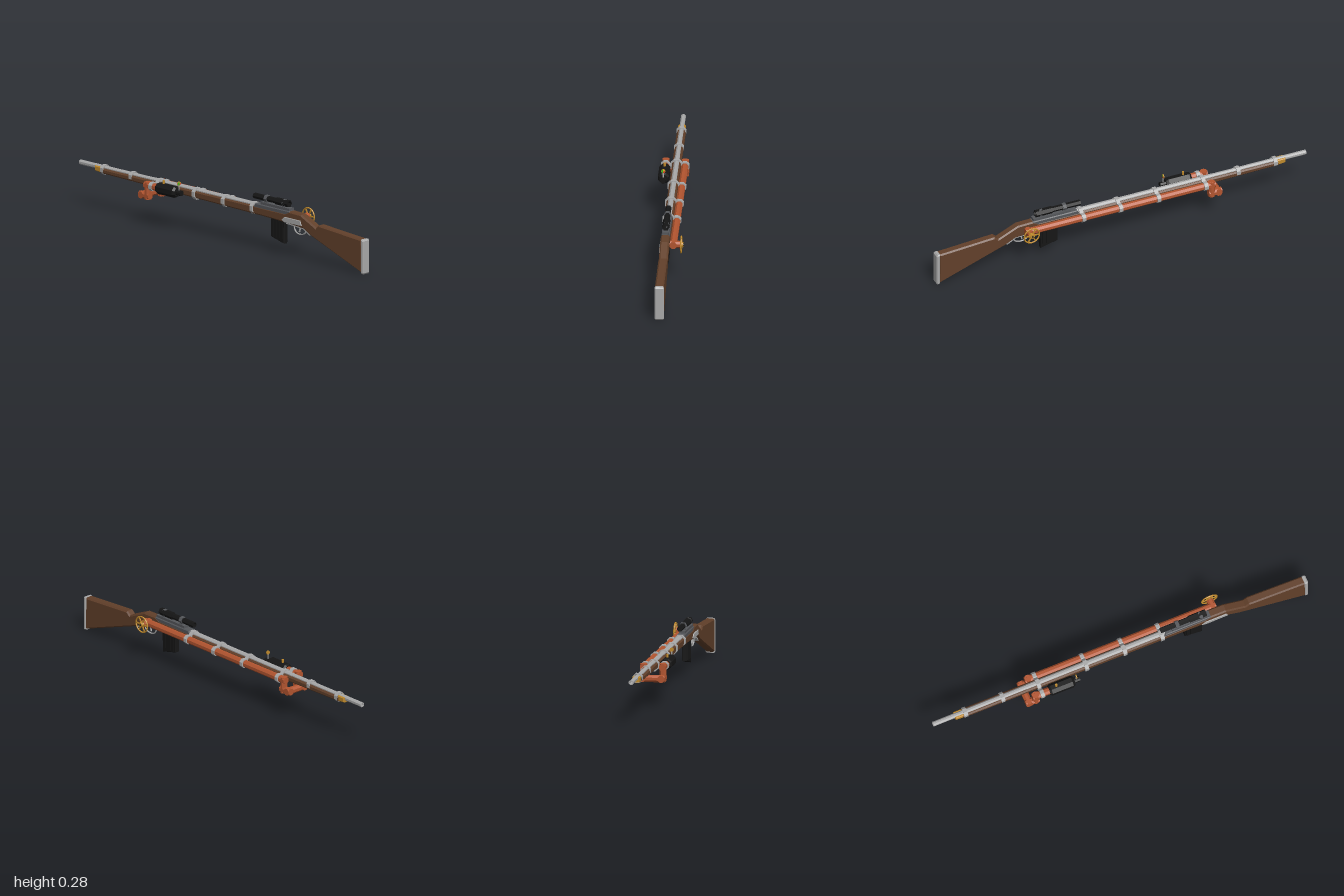
import * as THREE from 'three';

const CX = -0.004; // centre line of the rifle body

const mat = (color) => new THREE.MeshStandardMaterial({ color, flatShading: true, side: THREE.DoubleSide });

export function createModel() {
  const root = new THREE.Group();
  const wood = mat(0x62402a), copper = mat(0xb35530), black = mat(0x161616);
  const steel = mat(0xaaaaaa), dark = mat(0x55575b), brass = mat(0xc08a2c);

  const add = (name, geo, m, x = 0, y = 0, z = 0, parent = root) => {
    const mesh = new THREE.Mesh(geo, m);
    mesh.name = name;
    mesh.position.set(x, y, z);
    parent.add(mesh);
    return mesh;
  };
  const group = (name) => {
    const g = new THREE.Group();
    g.name = name;
    root.add(g);
    return g;
  };
  const box = (w, h, d) => new THREE.BoxGeometry(w, h, d);

  // Solid bar along z; r0 is the radius at the rear (+z) end
  const rod = (r0, r1, len, sides = 8) =>
    new THREE.CylinderGeometry(r0, r1, len, sides).rotateY(Math.PI / sides).rotateX(Math.PI / 2);

  // Hollow faceted tube along z
  const tube = (ri, ro, len, sides = 8) => {
    const h = len / 2;
    const pts = [[ri, -h], [ro, -h], [ro, h], [ri, h], [ri, -h]].map((p) => new THREE.Vector2(...p));
    return new THREE.LatheGeometry(pts, sides).rotateY(Math.PI / sides).rotateX(Math.PI / 2);
  };

  // Side profile given as [z, y], extruded across x with chamfered edges
  const slab = (profile, width, bevel) => {
    const shape = new THREE.Shape(profile.map((p) => new THREE.Vector2(...p)));
    const depth = width - 2 * bevel;
    return new THREE.ExtrudeGeometry(shape, {
      depth, bevelEnabled: bevel > 0, bevelSize: bevel, bevelThickness: bevel, bevelOffset: -bevel, bevelSegments: 1,
    }).translate(0, 0, -depth / 2).rotateY(-Math.PI / 2);
  };

  // Faceted pipe through a list of corner points
  const pipe = (name, points, r, m, parent) => {
    for (let i = 1; i < points.length; i++) {
      const a = new THREE.Vector3(...points[i - 1]), b = new THREE.Vector3(...points[i]);
      const dir = b.clone().sub(a), len = dir.length() + 1.84 * r;
      const mesh = add(name, rod(r, r, len), m, 0, 0, 0, parent);
      mesh.position.copy(a).add(b).multiplyScalar(0.5);
      mesh.lookAt(b);
    }
  };

  // Stock, butt plate and fore-end cap
  add('stock', slab([
    [0.985, 0.007], [0.985, 0.176], [0.685, 0.196], [0.665, 0.18], [0.56, 0.228], [0.48, 0.23], [0.45, 0.216],
    [-0.85, 0.215], [-0.85, 0.19], [0.3, 0.173], [0.5, 0.166], [0.575, 0.16], [0.63, 0.132],
  ], 0.044, 0.007), wood, CX);
  add('buttPlate', slab([[0.98, 0.004], [0.98, 0.177], [0.994, 0.177], [1, 0.17], [1, 0.008], [0.994, 0.001]], 0.046, 0.005), steel, CX);
  add('foreEndCap', slab([[-0.84, 0.192], [-0.84, 0.221], [-0.885, 0.221], [-0.885, 0.196]], 0.038, 0.004), brass, CX);

  // Barrel
  add('barrel', rod(0.0155, 0.0135, 0.98), steel, CX, 0.215, -0.01);
  add('muzzle', tube(0.007, 0.0125, 0.54), steel, CX, 0.215, -0.73);

  // Receiver, trigger and guard
  add('receiver', slab([[0.5, 0.2], [0.48, 0.23], [0.24, 0.23], [0.22, 0.2]], 0.04, 0.004), dark, CX);
  add('sidePlate', slab([[0.57, 0.172], [0.56, 0.198], [0.45, 0.198], [0.43, 0.18], [0.45, 0.17]], 0.012, 0.002), steel, -0.024);
  add('lowerPlate', slab([[0.62, 0.134], [0.575, 0.164], [0.45, 0.172], [0.45, 0.162], [0.57, 0.155], [0.615, 0.13]], 0.028, 0), steel, CX);
  const guardPath = new THREE.CatmullRomCurve3([
    [0.575, 0.158], [0.572, 0.135], [0.55, 0.122], [0.515, 0.124], [0.498, 0.14], [0.494, 0.165],
  ].map(([z, y]) => new THREE.Vector3(0, y, z)));
  add('triggerGuard', new THREE.TubeGeometry(guardPath, 16, 0.0035, 6), steel, CX);
  const trigger = add('trigger', box(0.006, 0.032, 0.006), steel, CX, 0.147, 0.535);
  trigger.rotation.x = 0.25;

  // Ribbed magazine
  const mag = group('magazine');
  const magProfile = [[0.438, 0.18], [0.435, 0.056], [0.342, 0.079], [0.342, 0.18]];
  add('magazineBody', slab(magProfile, 0.026, 0.003), black, CX, 0, 0, mag);
  for (let i = 0; i < 4; i++) {
    add('magazineRib', box(0.031, 0.085, 0.009), black, CX, 0.123, 0.42 - i * 0.021, mag);
  }

  // Telescopic sight on its rail
  const scope = group('scope');
  add('rail', box(0.032, 0.013, 0.2), dark, CX, 0.236, 0.375, scope);
  add('scopeEyepiece', tube(0.0125, 0.0185, 0.09, 6), black, CX, 0.262, 0.415, scope);
  add('scopeTube', tube(0.0115, 0.0145, 0.155, 6), black, CX, 0.262, 0.295, scope);
  for (const z of [0.43, 0.305]) {
    add('scopeRing', tube(0.0125, 0.0185, 0.018, 6), dark, CX, 0.262, z, scope);
    add('scopeFoot', box(0.024, 0.012, 0.018), dark, CX, 0.242, z, scope);
  }
  add('crosshair', box(0.024, 0.001, 0.001), black, CX, 0.262, 0.37, scope);
  add('crosshair', box(0.001, 0.024, 0.001), black, CX, 0.262, 0.37, scope);

  // Copper pipework: valve stub, long run, loop under the barrel, feed to the tank
  const pipes = group('pipework');
  const R = 0.0185, PX = 0.037, LX = -0.059;
  pipe('copperPipe', [
    [0.054, 0.196, 0.513], [PX, 0.196, 0.513], [PX, 0.197, -0.474], [PX, 0.147, -0.474], [PX, 0.147, -0.51],
    [LX, 0.147, -0.51], [LX, 0.147, -0.474], [LX, 0.2, -0.474], [LX, 0.2, -0.4],
  ], R, copper, pipes);

  // Valve handwheel
  const wheel = group('valveWheel');
  wheel.position.set(0.076, 0.196, 0.513);
  wheel.rotation.y = Math.PI / 2;
  add('wheelRim', new THREE.TorusGeometry(0.041, 0.0038, 6, 20), brass, 0, 0, 0, wheel);
  add('wheelHub', rod(0.012, 0.016, 0.02), brass, 0, 0, 0, wheel);
  add('wheelNut', rod(0.005, 0.005, 0.026, 6), black, 0, 0, 0, wheel);
  for (let i = 0; i < 3; i++) {
    add('wheelSpoke', box(0.08, 0.006, 0.005), brass, 0, 0, 0, wheel).rotation.z = (i * Math.PI) / 3;
  }

  // Pressure tank with knob and dial
  const tank = group('pressureTank');
  add('tankBody', rod(0.03, 0.03, 0.112), black, LX, 0.2, -0.336, tank);
  add('tankRear', rod(0.022, 0.03, 0.012), black, LX, 0.2, -0.274, tank);
  add('tankFront', rod(0.03, 0.024, 0.01), black, LX, 0.2, -0.397, tank);
  add('tankNozzle', rod(0.014, 0.014, 0.035), black, LX, 0.2, -0.255, tank);
  add('tankKnob', new THREE.CylinderGeometry(0.006, 0.006, 0.018, 8), brass, LX, 0.235, -0.363, tank);
  add('dialStem', new THREE.CylinderGeometry(0.003, 0.003, 0.035, 6), steel, LX, 0.224, -0.256, tank);
  add('dialCase', rod(0.0105, 0.0105, 0.005, 12), brass, LX, 0.247, -0.256, tank);
  [[0xd83020, -0.25, 0.28], [0xe8c020, 0.03, 0.22], [0x30b820, 0.25, 0.5]].forEach(([color, start, span]) =>
    add('dialSector', new THREE.CircleGeometry(0.0095, 8, start * 2 * Math.PI, span * 2 * Math.PI),
      mat(color), LX, 0.247, -0.253, tank));

  // Clamps around the barrel, the first four also holding the pipe
  const clamps = group('clamps');
  [0.22, 0.02, -0.185, -0.44, -0.63, -0.83].forEach((z, i) => {
    const small = i > 3;
    add('barrelClamp', tube(small ? 0.021 : 0.026, small ? 0.026 : 0.032, 0.02), steel, CX, small ? 0.208 : 0.201, z, clamps);
    if (!small) add('pipeClamp', tube(0.018, 0.0235, 0.02), steel, PX, 0.197, z, clamps);
    if (i === 3) {
      add('feedClamp', tube(0.018, 0.0235, 0.02), steel, LX, 0.2, z, clamps);
      add('clampBridge', box(0.014, 0.014, 0.018), steel, -0.035, 0.2, z, clamps);
    }
  });

  return root;
}
